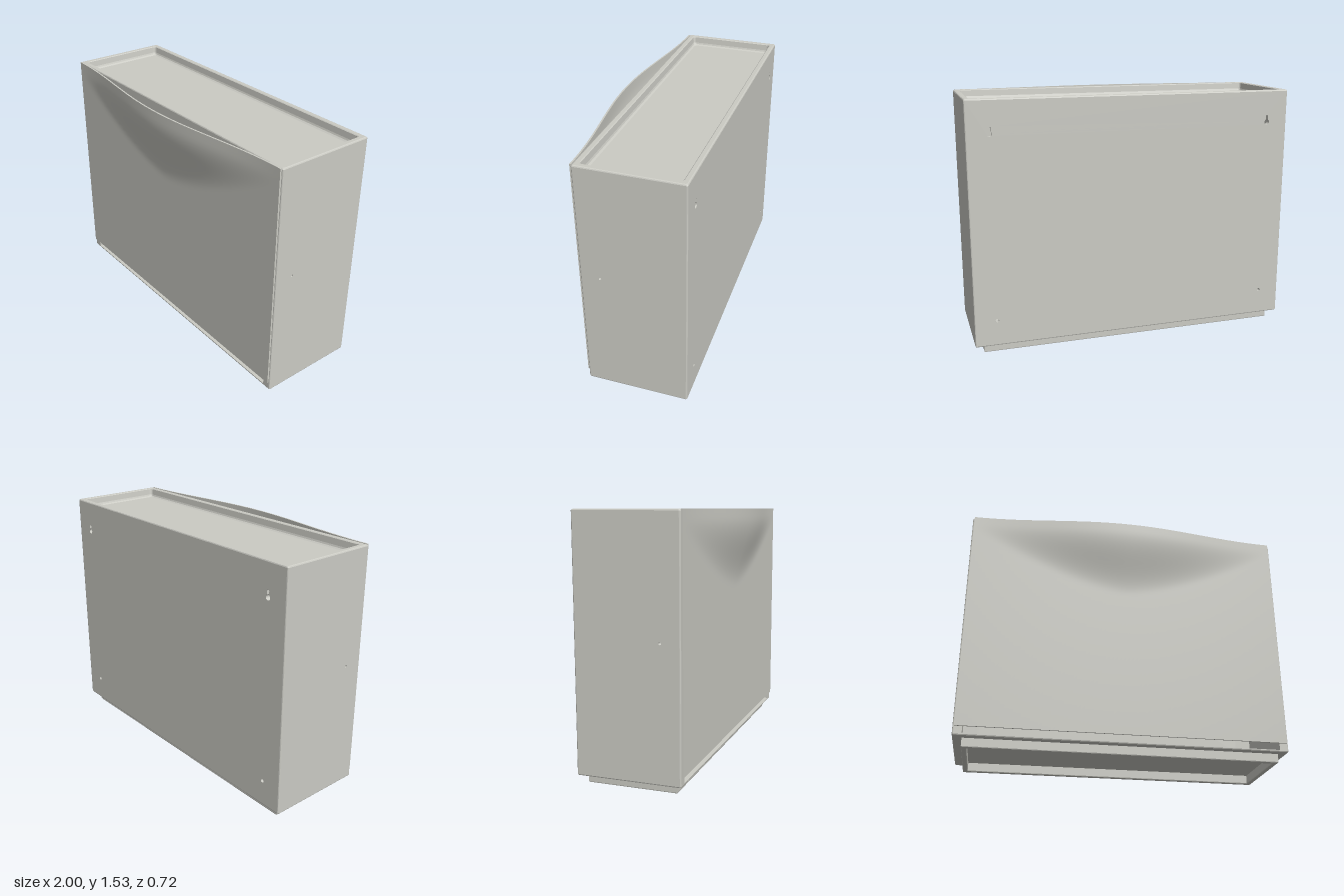
import * as THREE from 'three';

const BACK = -0.358, FRONT = 0.262, MID = (BACK + FRONT) / 2, HALF_Z = (FRONT - BACK) / 2;
const BOTTOM = 0.055, TOP = 1.53, R = 0.008, WALL = 0.03;

// Rounded rectangle in plan: four corners of four points each
function loop([inset, y, r]) {
  const pts = [];
  for (let q = 0; q < 4; q++) {
    const sx = q === 0 || q === 3 ? 1 : -1, sz = q < 2 ? 1 : -1;
    for (let k = 0; k < 4; k++) {
      const a = (q + k / 3) * Math.PI / 2;
      if (inset === null) pts.push([0, y, MID]);
      else pts.push([
        sx * (1 - inset - r) + r * Math.cos(a), y,
        MID + sz * (HALF_Z - inset - r) + r * Math.sin(a)]);
    }
  }
  return pts;
}

// Skin through stacked loops; the flats of one row are left open for wall plates
function skin(rows, openRow) {
  const pos = rows.flatMap(loop).flat(), idx = [], n = 16;
  for (let i = 0; i < rows.length - 1; i++) {
    for (let j = 0; j < n; j++) {
      if (i === openRow && j % 4 === 3) continue;
      const a = i * n + j, b = i * n + (j + 1) % n, c = b + n, d = a + n;
      idx.push(a, d, c, a, c, b);
    }
  }
  const g = new THREE.BufferGeometry();
  g.setAttribute('position', new THREE.Float32BufferAttribute(pos, 3));
  g.setIndex(idx);
  const flat = g.toNonIndexed();
  flat.computeVertexNormals();
  return flat;
}

function rect(path, x0, y0, x1, y1) {
  path.moveTo(x0, y0).lineTo(x1, y0).lineTo(x1, y1).lineTo(x0, y1).closePath();
  return path;
}

function roundHole(x, y, r) {
  return new THREE.Path().absarc(x, y, r, 0, Math.PI * 2);
}

// Round opening with a narrower slot above it
function keyhole(x, y) {
  const p = new THREE.Path();
  p.absarc(x, y - 0.013, 0.016, Math.PI * 0.65, Math.PI * 2.35);
  p.absarc(x, y + 0.022, 0.008, 0, Math.PI);
  p.closePath();
  return p;
}

function wall(halfWidth, holes) {
  const s = rect(new THREE.Shape(), -halfWidth, BOTTOM + R, halfWidth, TOP - R);
  s.holes.push(...holes);
  return new THREE.ExtrudeGeometry(s, { depth: WALL, bevelEnabled: false, curveSegments: 10 });
}

export function createModel() {
  const root = new THREE.Group();
  root.name = 'wallCabinet';
  const paint = new THREE.MeshStandardMaterial({ color: 0xcbcbc4 });
  paint.name = 'warmGreyPaint';

  function add(name, geometry, x = 0, y = 0, z = 0, turn = 0) {
    const m = new THREE.Mesh(geometry, paint);
    m.name = name;
    m.position.set(x, y, z);
    m.rotation.y = turn;
    root.add(m);
    return m;
  }

  // Rounded edges, underside, top rim and sunken tray
  add('bodyEdgesAndTray', skin([
    [null, BOTTOM, R], [R, BOTTOM, R], [0.0025, BOTTOM + 0.0025, R], [0, BOTTOM + R, R],
    [0, TOP - R, R], [0.0025, TOP - 0.0025, R], [R, TOP, R],
    [0.03, TOP, 0.016], [0.035, TOP - 0.004, 0.016], [0.039, 1.49, 0.016],
    [0.043, 1.48, 0.016], [0.053, 1.473, 0.016], [null, 1.473, R],
  ], 3));

  // Wall plates
  const opening = rect(new THREE.Path(), -0.945, 0.068, 0.945, 1.42);
  add('frontFrame', wall(1 - R, [opening]), 0, 0, FRONT - WALL);
  const mounts = [];
  for (const s of [-1, 1]) mounts.push(keyhole(s * 0.865, 1.345), roundHole(s * 0.865, 0.215, 0.011));
  add('backWall', wall(1 - R, mounts), 0, 0, BACK + WALL, Math.PI);
  for (const s of [-1, 1]) {
    const pinHole = roundHole(-s * (0.145 - MID), 0.835, 0.008);
    add(s > 0 ? 'leftWall' : 'rightWall', wall(HALF_Z - R, [pinHole]), s * (1 - WALL), 0, MID, s * Math.PI / 2);
  }

  // Inside floor and ceiling
  add('insideFloor', new THREE.BoxGeometry(1.96, 0.009, 0.59), 0, 0.0625, MID);
  add('insideCeiling', new THREE.BoxGeometry(1.96, 0.02, 0.59), 0, 1.455, MID);

  // Front flap, swelling outward along its top edge to form a pull
  const flap = new THREE.BoxGeometry(1.98, 1.42, 0.01, 80, 60, 1);
  flap.translate(0, 0.82, 0.267);
  const p = flap.attributes.position;
  for (let i = 0; i < p.count; i++) {
    const x = p.getX(i), y = p.getY(i);
    const start = 1.05 + 0.4 * Math.pow(Math.abs(x), 1.5);
    const rise = THREE.MathUtils.smoothstep(y, start, 1.48);
    const across = Math.cos(x / 0.99 * Math.PI / 2) ** 2;
    p.setZ(i, p.getZ(i) + 0.086 * rise * across);
  }
  flap.computeVertexNormals();
  add('frontFlap', flap);

  // Hollow plinth ring
  const ring = rect(new THREE.Shape(), -0.939, -0.214, 0.939, 0.309);
  ring.holes.push(rect(new THREE.Path(), -0.921, -0.196, 0.921, 0.291));
  const plinth = new THREE.ExtrudeGeometry(ring, {
    depth: BOTTOM - 0.006, bevelEnabled: true, bevelSize: 0.006, bevelThickness: 0.006, bevelSegments: 2,
  });
  plinth.rotateX(-Math.PI / 2);
  add('plinth', plinth, 0, 0.006, 0);

  return root;
}
